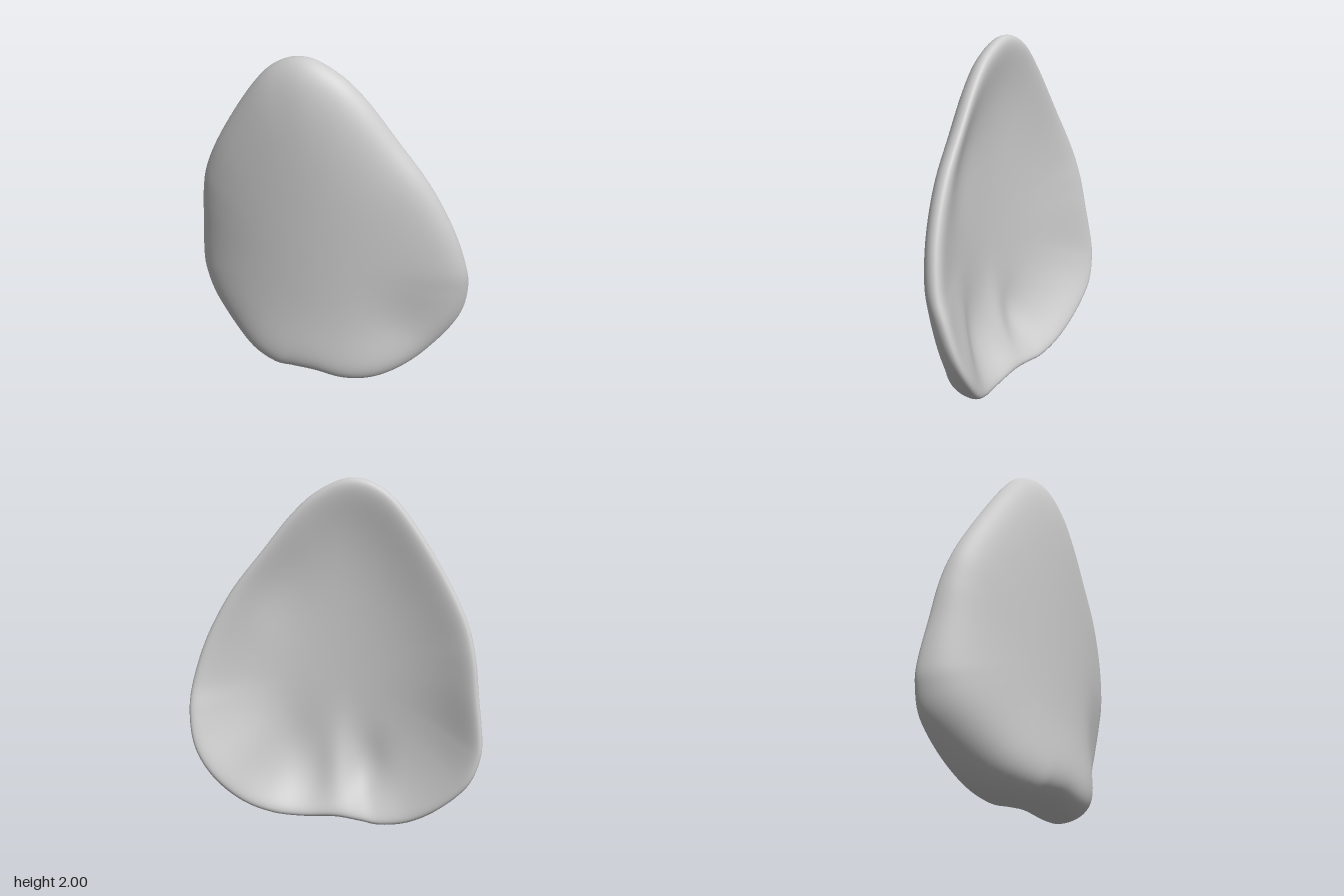
import * as THREE from 'three';
import { mergeVertices } from 'three/addons/utils/BufferGeometryUtils.js';

// Rim control points, clockwise from the tip: x, y, z of the rim centre, half thickness
const RIM = [
  [-0.08, 2.0, 0.05, 0.085], [0.1, 1.93, 0.05, 0.08], [0.25, 1.8, 0.04, 0.075],
  [0.42, 1.59, 0.025, 0.075], [0.6, 1.36, 0.01, 0.075], [0.74, 1.1, -0.02, 0.075],
  [0.82, 0.85, -0.065, 0.08], [0.835, 0.67, -0.12, 0.09], [0.8, 0.47, -0.16, 0.1],
  [0.7, 0.29, -0.155, 0.115], [0.55, 0.13, -0.1, 0.135], [0.38, 0.035, -0.04, 0.145],
  [0.2, 0.005, -0.005, 0.15], [0, 0.02, -0.01, 0.155], [-0.15, 0.01, -0.025, 0.16],
  [-0.28, 0, -0.04, 0.165], [-0.45, 0.045, -0.075, 0.155], [-0.62, 0.16, -0.125, 0.13],
  [-0.77, 0.32, -0.16, 0.11], [-0.83, 0.47, -0.16, 0.095], [-0.84, 0.6, -0.15, 0.085],
  [-0.81, 0.85, -0.115, 0.08], [-0.785, 1.05, -0.085, 0.075], [-0.73, 1.25, -0.045, 0.07],
  [-0.6, 1.5, 0, 0.07], [-0.4, 1.8, 0.03, 0.075], [-0.25, 1.95, 0.04, 0.08],
];

const closedCurve = (points) => new THREE.CatmullRomCurve3(points, true, 'catmullrom');
const bump = (x, y, cx, cy, rx, ry) => Math.exp(-(((x - cx) / rx) ** 2) - ((y - cy) / ry) ** 2);
// Smooth trough shape of the middle surface, with a dent low on the left
const trough = (x, y) => 0.145 - 0.29 * x * x - 0.045 * bump(x, y, 0.52, 0.42, 0.22, 0.28);

function petalGeometry() {
  const around = 180, across = 80;
  const cx = 0, cy = 0.85;
  const rim = closedCurve(RIM.map(([x, y, z]) => new THREE.Vector3(x, y, z)));
  const thickness = closedCurve(RIM.map((p) => new THREE.Vector3(p[3], 0, 0)));
  const positions = [], index = [];

  for (let i = 0; i < around; i++) {
    const edge = rim.getPoint(i / around);
    const r = thickness.getPoint(i / around).x;
    const dx = edge.x - cx, dy = edge.y - cy;
    // The base curls back more sharply than the sides and tip
    const down = (Math.max(0, -dy) / Math.hypot(dx, dy)) ** 2;
    const curl = edge.z - trough(edge.x, edge.y);
    for (let j = 0; j <= across; j++) {
      // Section runs from the front centre over the rim to the back centre
      const s = j === across ? 0 : Math.sin((j / across) * Math.PI);
      const side = j * 2 < across ? 1 : -1;
      const x = cx + dx * s, y = cy + dy * s;
      const power = side > 0 ? 4.5 + 4 * down : 4.5 + 0.5 * down;
      const half = THREE.MathUtils.lerp(0.055, r, s ** 4)
        * Math.sqrt(Math.max(0, 1 - s ** (13 + 5 * down)));
      let z = trough(x, y) + curl * s ** power + side * half;
      if (side < 0) {
        // Ridge and two grooves near the base of the hollow back, hollow along the left rim
        const inner = 1 - s ** 6;
        z -= 0.04 * inner * bump(x, y, 0, 0.25, 0.1, 0.28);
        z += 0.03 * inner * bump(x, y, 0.28, 0.38, 0.15, 0.28);
        z += 0.025 * inner * bump(x, y, -0.2, 0.3, 0.1, 0.18);
        z += 0.03 * inner * bump(x, y, 0.35, 1.45, 0.18, 0.3);
      }
      positions.push(x, y, z);
    }
  }

  const row = across + 1;
  for (let i = 0; i < around; i++) {
    const next = (i + 1) % around;
    for (let j = 0; j < across; j++) {
      const a = i * row + j, b = next * row + j;
      if (j > 0) index.push(a, b, b + 1);
      if (j < across - 1) index.push(a, b + 1, a + 1);
    }
  }

  const geometry = new THREE.BufferGeometry();
  geometry.setAttribute('position', new THREE.Float32BufferAttribute(positions, 3));
  geometry.setIndex(index);
  const merged = mergeVertices(geometry, 1e-5);
  merged.computeVertexNormals();
  return merged;
}

export function createModel() {
  const group = new THREE.Group();
  group.name = 'petal';
  const blade = new THREE.Mesh(petalGeometry(), new THREE.MeshStandardMaterial({ color: 0xcccccc }));
  blade.name = 'petalBlade';
  group.add(blade);
  return group;
}
